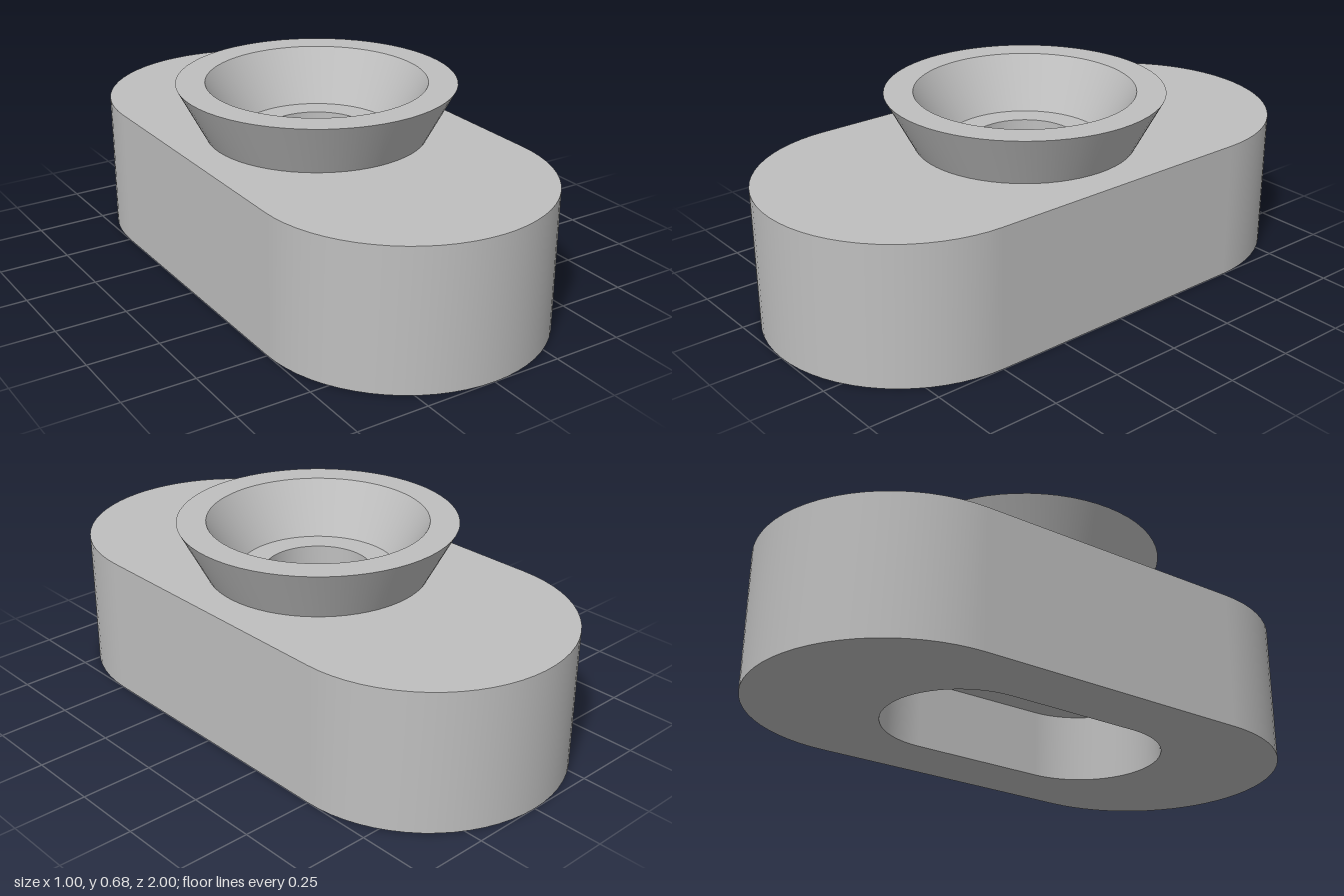
import * as THREE from 'three';
import { mergeGeometries, toCreasedNormals } from 'three/addons/utils/BufferGeometryUtils.js';

const BASE_H = 0.49, SLOT_H = 0.245, BORE_R = 0.185;

// Slot-shaped outline: two half circles of radius r, centred at +h and -h
function stadium(r, h, n = 32) {
  const pts = [];
  for (const side of [1, -1]) {
    for (let i = 0; i <= n; i++) {
      const a = (i / n) * Math.PI;
      pts.push(new THREE.Vector2(side * r * Math.cos(a), side * (r * Math.sin(a) + h)));
    }
  }
  return pts;
}

function circle(r, n = 64) {
  return Array.from({ length: n }, (_, i) => {
    const a = (i / n) * Math.PI * 2;
    return new THREE.Vector2(r * Math.cos(a), r * Math.sin(a));
  });
}

// Flat horizontal face with one hole, facing up or down
function cap(outline, hole, y, up) {
  const shape = new THREE.Shape(outline);
  shape.holes.push(new THREE.Path(hole));
  const g = new THREE.ShapeGeometry(shape);
  g.rotateX(up ? -Math.PI / 2 : Math.PI / 2).translate(0, y, 0);
  g.deleteAttribute('uv');
  return g;
}

// Smooth vertical wall around a closed outline; reverse the outline to face inward
function wall(outline, y0, y1) {
  const pos = [], index = [], n = outline.length;
  outline.forEach((p, i) => {
    pos.push(p.x, y0, p.y, p.x, y1, p.y);
    const b = 2 * i, c = 2 * ((i + 1) % n);
    index.push(b, b + 1, c, b + 1, c + 1, c);
  });
  const g = new THREE.BufferGeometry();
  g.setAttribute('position', new THREE.Float32BufferAttribute(pos, 3));
  g.setIndex(index);
  g.computeVertexNormals();
  return g;
}

export function createModel() {
  const model = new THREE.Group();
  const grey = new THREE.MeshStandardMaterial({ color: 0xbfbfbf });
  grey.name = 'plain grey';

  const add = (name, geometry) => {
    const mesh = new THREE.Mesh(geometry, grey);
    mesh.name = name;
    model.add(mesh);
  };

  // Rounded block with a slot recessed into its underside
  const outer = stadium(0.5, 0.5), slot = stadium(0.275, 0.25);
  add('base', mergeGeometries([
    wall(outer, 0, BASE_H),
    cap(outer, circle(0.383), BASE_H, true),
    cap(outer, slot, 0, false),
  ]));
  add('undersideSlot', mergeGeometries([
    wall([...slot].reverse(), 0, SLOT_H),
    cap(slot, circle(BORE_R), SLOT_H, false),
  ]));

  // Flared collar, its conical seat and the bore down to the slot
  const profile = [
    [0.383, BASE_H], [0.48, 0.675], [0.38, 0.675],
    [0.275, BASE_H], [BORE_R, BASE_H], [BORE_R, SLOT_H],
  ].map(([r, y]) => new THREE.Vector2(r, y));
  add('flaredCollar', toCreasedNormals(new THREE.LatheGeometry(profile, 64), Math.PI / 6));

  return model;
}
